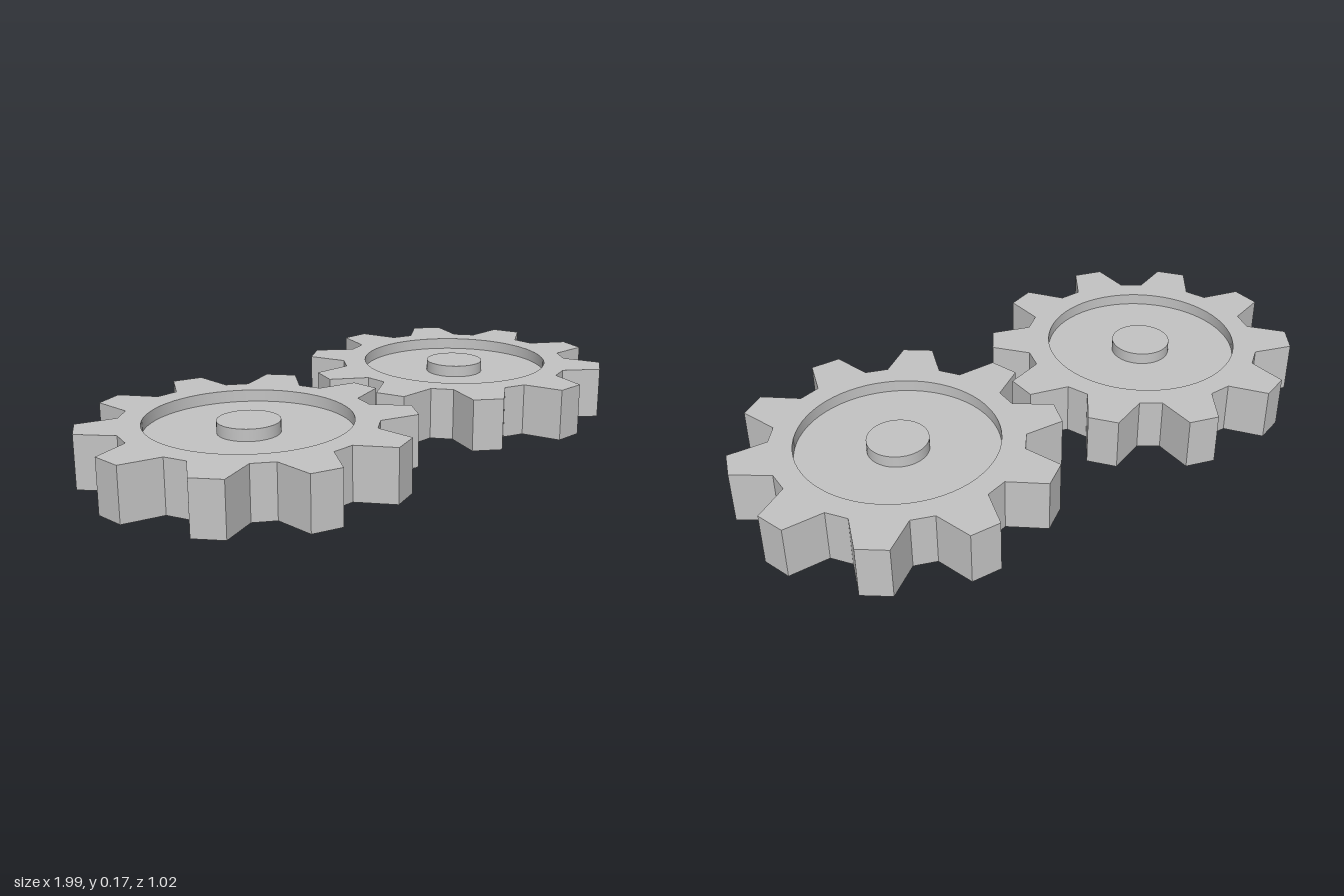
import * as THREE from 'three';
import { toCreasedNormals } from 'three/addons/utils/BufferGeometryUtils.js';

const TEETH = 10;
const HEIGHT = 0.17;
const RECESS = 0.038; // depth of the dish on each face
const RIM_R = 0.318;
const HUB_R = 0.097;

const steel = new THREE.MeshStandardMaterial({ color: 0xc4c4c4 });
steel.name = 'grey steel';

// Toothed outline with a round opening, extruded upwards
function toothedRingGeometry() {
  const rootR = 0.394, tipR = 0.513;
  const rootHalf = THREE.MathUtils.degToRad(12.6);
  const tipHalf = THREE.MathUtils.degToRad(5.5);
  const points = [];
  for (let i = 0; i < TEETH; i++) {
    const a = (i / TEETH) * Math.PI * 2;
    for (const [r, d] of [[rootR, -rootHalf], [tipR, -tipHalf], [tipR, tipHalf], [rootR, rootHalf]]) {
      points.push(new THREE.Vector2(r * Math.cos(a + d), r * Math.sin(a + d)));
    }
  }
  const shape = new THREE.Shape(points);
  shape.holes.push(new THREE.Path().absarc(0, 0, RIM_R, 0, Math.PI * 2, true));
  const geometry = new THREE.ExtrudeGeometry(shape, { depth: HEIGHT, bevelEnabled: false, curveSegments: 32 });
  geometry.rotateX(-Math.PI / 2);
  return toCreasedNormals(geometry, 0.35);
}

function addPart(group, name, geometry, y) {
  const mesh = new THREE.Mesh(geometry, steel);
  mesh.name = name;
  mesh.position.y = y;
  group.add(mesh);
}

function createGear(name, x, degrees) {
  const gear = new THREE.Group();
  gear.name = name;
  addPart(gear, 'toothedRing', toothedRingGeometry(), 0);
  // Web is sunk below both faces and runs slightly into the ring
  addPart(gear, 'web', new THREE.CylinderGeometry(RIM_R + 0.01, RIM_R + 0.01, HEIGHT - 2 * RECESS, 64), HEIGHT / 2);
  // Hub is flush with the ring on both faces
  addPart(gear, 'hub', new THREE.CylinderGeometry(HUB_R, HUB_R, HEIGHT, 48), HEIGHT / 2);
  gear.position.x = x;
  gear.rotation.y = THREE.MathUtils.degToRad(degrees);
  return gear;
}

export function createModel() {
  const model = new THREE.Group();
  model.name = 'gearPair';
  model.add(createGear('rightGear', -0.49, 0), createGear('leftGear', 0.488, 15.1));
  return model;
}
